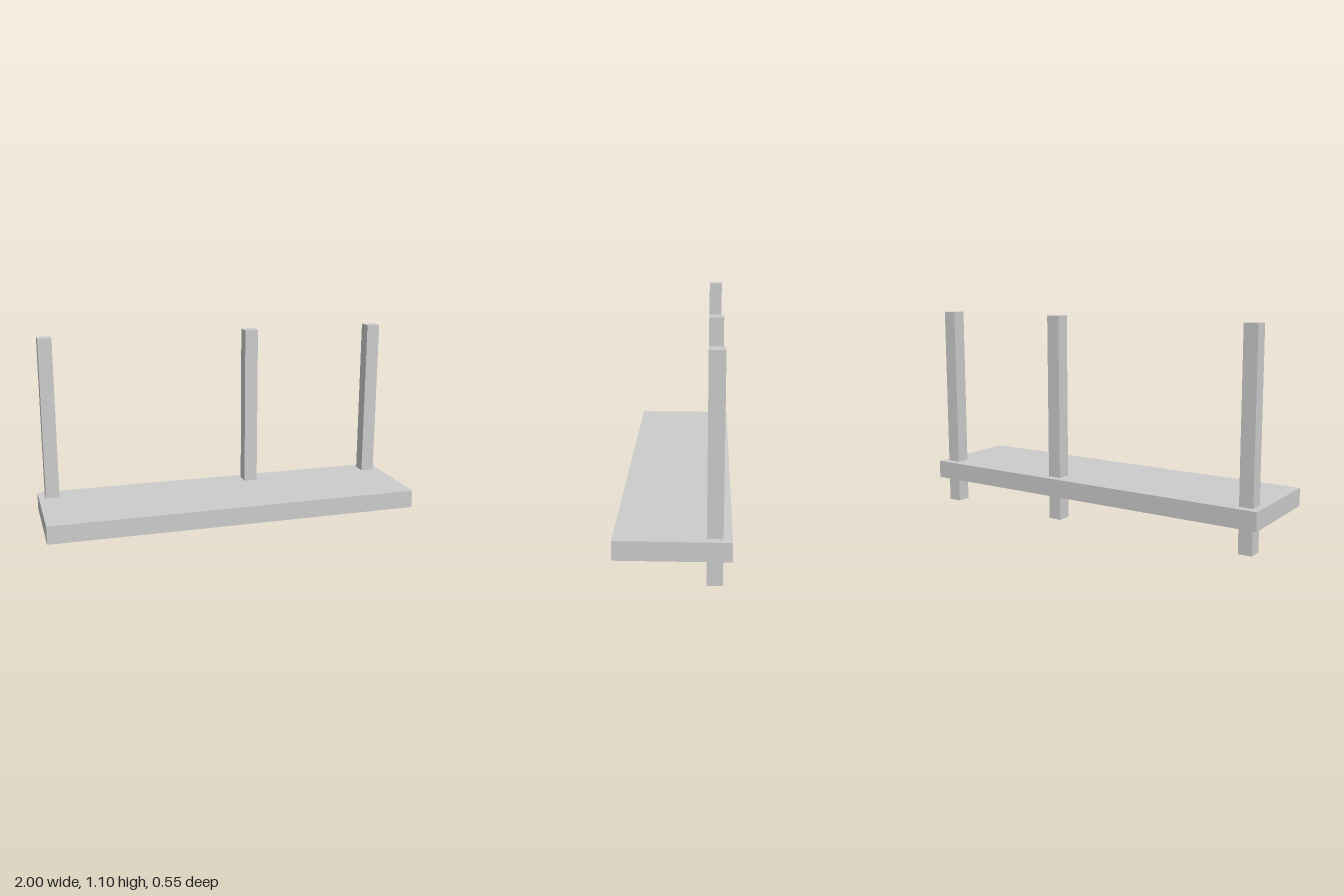
import * as THREE from 'three';

export function createModel() {
  const group = new THREE.Group();
  const material = new THREE.MeshStandardMaterial({ color: 0xcccccc, flatShading: true });

  const addBox = (name, size, position) => {
    const mesh = new THREE.Mesh(new THREE.BoxGeometry(...size), material);
    mesh.name = name;
    mesh.position.set(...position);
    group.add(mesh);
  };

  // Wide plank
  addBox('plank', [2, 0.096, 0.545], [0, 0.185, 0]);

  // Square posts passing through the plank along its back edge
  const postHeight = 1.1;
  const posts = { rightPost: -0.927, middlePost: 0.196, leftPost: 0.927 };
  for (const [name, x] of Object.entries(posts)) {
    addBox(name, [0.073, postHeight, 0.075], [x, postHeight / 2, -0.193]);
  }

  return group;
}
